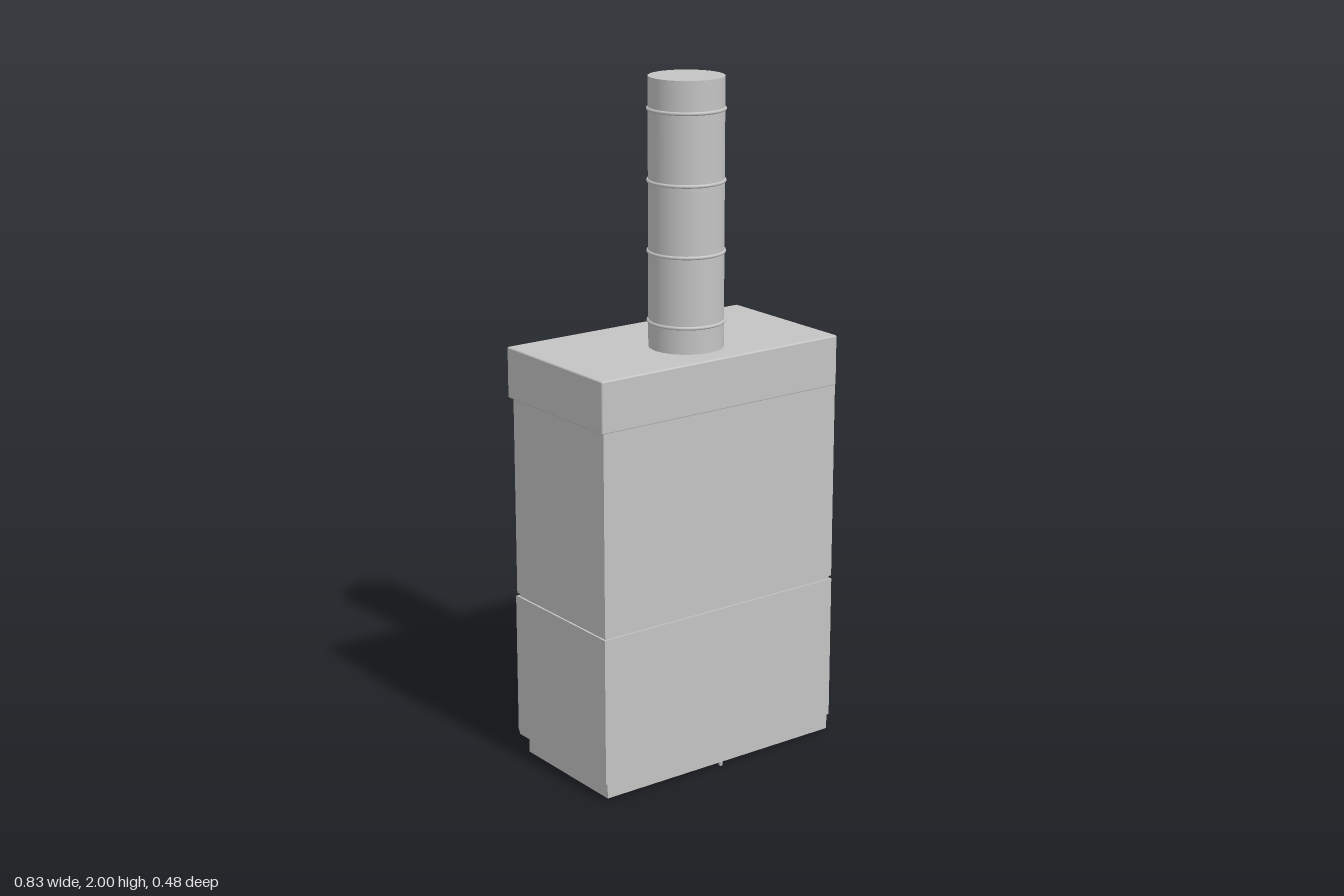
import * as THREE from 'three';
import { RoundedBoxGeometry } from 'three/addons/geometries/RoundedBoxGeometry.js';

export function createModel() {
  const model = new THREE.Group();
  model.name = 'fumeHood';
  const grey = new THREE.MeshStandardMaterial({ color: 0xc4c4c4 });
  grey.name = 'light grey';

  const add = (name, geometry, parent = model) => {
    const mesh = new THREE.Mesh(geometry, grey);
    mesh.name = name;
    parent.add(mesh);
    return mesh;
  };
  // Box given by its limits on each axis; r > 0 rounds the edges
  const box = (name, x0, x1, y0, y1, z0, z1, r = 0) => {
    const size = [x1 - x0, y1 - y0, z1 - z0];
    const geometry = r ? new RoundedBoxGeometry(...size, 2, r) : new THREE.BoxGeometry(...size);
    geometry.translate((x0 + x1) / 2, (y0 + y1) / 2, (z0 + z1) / 2);
    return add(name, geometry);
  };

  // Base cabinet; the working side faces -z
  box('plinth', -0.405, 0.405, 0.01, 0.055, -0.165, 0.233);
  box('levellingFoot', -0.004, 0.004, 0, 0.012, 0.229, 0.237);
  box('cabinet', -0.412, 0.412, 0.055, 0.49, -0.205, 0.235);
  box('seam', -0.406, 0.406, 0.49, 0.5, -0.199, 0.23);
  box('worktop', -0.411, 0.411, 0.5, 0.51, -0.205, 0.235);

  // Doors and bar handles, mirrored
  for (const s of [-1, 1]) {
    const a = s * 0.004, b = s * 0.411;
    box('door', Math.min(a, b), Math.max(a, b), 0.064, 0.488, -0.213, -0.204, 0.002);
    const path = new THREE.CurvePath();
    const points = [[0.375, -0.212], [0.375, -0.231], [0.38, -0.235], [0.45, -0.235], [0.455, -0.231], [0.455, -0.212]]
      .map(([y, z]) => new THREE.Vector3(s * 0.04, y, z));
    for (let i = 1; i < points.length; i++) path.add(new THREE.LineCurve3(points[i - 1], points[i]));
    add('doorHandle', new THREE.TubeGeometry(path, 40, 0.005, 10));
  }

  // Chamber walls
  box('leftWall', 0.378, 0.411, 0.51, 1.09, -0.205, 0.235);
  box('rightWall', -0.411, -0.378, 0.51, 1.09, -0.205, 0.235);
  box('backWall', -0.378, 0.378, 0.51, 1.09, 0.208, 0.235);

  // Sliding sash with its grip rail
  box('sash', -0.378, 0.378, 0.85, 1.09, -0.2, -0.19);
  box('sashRail', -0.378, 0.378, 0.838, 0.854, -0.213, -0.188, 0.003);

  // Header with control panel
  box('header', -0.415, 0.415, 1.085, 1.235, -0.228, 0.236, 0.005);
  box('controlPanel', -0.374, 0.374, 1.115, 1.208, -0.235, -0.226, 0.003);
  box('display', 0.23, 0.33, 1.14, 1.185, -0.238, -0.234);

  // Exhaust duct with joint rings
  const duct = new THREE.Group();
  duct.name = 'duct';
  duct.position.set(0, 0, 0.063);
  model.add(duct);
  add('ductPipe', new THREE.CylinderGeometry(0.107, 0.107, 0.77, 48), duct).position.y = 1.615;
  for (const y of [1.31, 1.51, 1.71, 1.91]) {
    const ring = add('ductRing', new THREE.TorusGeometry(0.107, 0.005, 8, 48), duct);
    ring.rotation.x = Math.PI / 2;
    ring.position.y = y;
  }

  // Conical flasks on the worktop
  const profile = [[0, 0], [0.05, 0], [0.054, 0.004], [0.053, 0.01], [0.017, 0.075], [0.016, 0.1], [0.02, 0.103], [0.02, 0.107], [0, 0.107]]
    .map(([x, y]) => new THREE.Vector2(x, y));
  const flaskGeometry = new THREE.LatheGeometry(profile, 32);
  for (const [x, z] of [[0.025, -0.005], [0.16, 0.115], [0.038, 0.1]]) {
    add('flask', flaskGeometry).position.set(x, 0.51, z);
  }
  return model;
}
